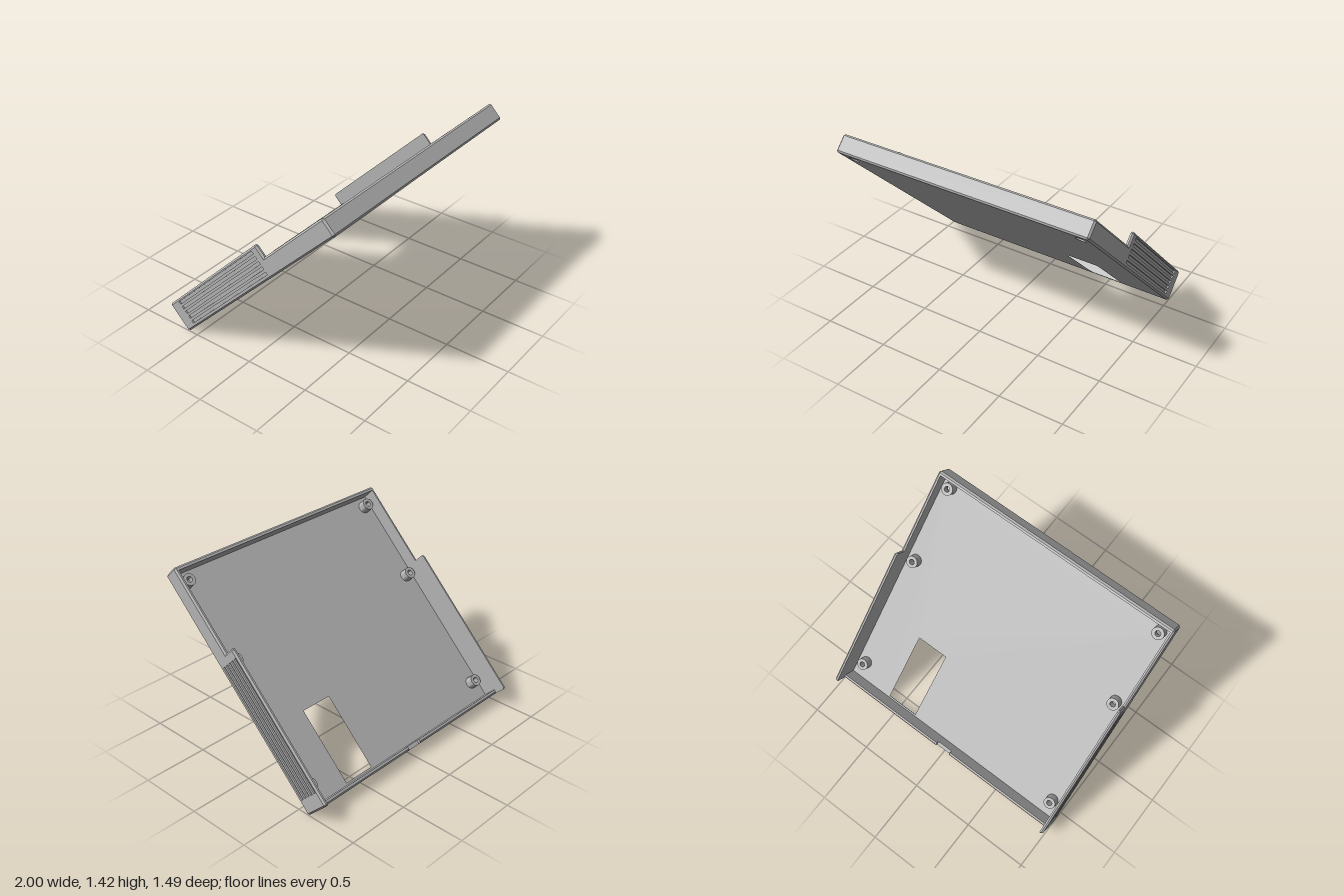
import * as THREE from 'three';
import { toCreasedNormals } from 'three/addons/utils/BufferGeometryUtils.js';

// Tray in its own frame: x across, y = height above the outer face, z = along its length.
const L = 1.895, LOW = 0.137, HIGH = 0.238, STEP = 1.2125; // length, rim heights, where the side drops
const C = 0.0125, T = 0.03, SIDE = 0.025, FLOOR = 0.025;   // chamfer and wall thicknesses
const INNER = 1 - SIDE;

const material = new THREE.MeshStandardMaterial({ color: 0xb6b6b6 });
material.name = 'grey plastic';

function mesh(name, geometry, parent) {
  const m = new THREE.Mesh(geometry, material);
  m.name = name;
  parent.add(m);
  return m;
}

// Profile of [z, y] points, extruded along x
const toPath = (pts) => pts.map(([z, y]) => new THREE.Vector2(-z, y));
function extrudeX(pts, x0, x1, holes = []) {
  const shape = new THREE.Shape(toPath(pts));
  holes.forEach((h) => shape.holes.push(new THREE.Path(toPath(h))));
  const g = new THREE.ExtrudeGeometry(shape, { depth: x1 - x0, bevelEnabled: false });
  return g.rotateY(Math.PI / 2).translate(x0, 0, 0);
}

// Sloped band joining two [z, y] loops at different x
function skirt(outer, inner, x0, x1) {
  const pos = [];
  outer.forEach((p0, i) => {
    const j = (i + 1) % outer.length;
    const p1 = outer[j], q0 = inner[i], q1 = inner[j];
    const put = (p, x) => pos.push(x, p[1], p[0]);
    put(p0, x0); put(p1, x0); put(q1, x1);
    if (q0[0] !== q1[0] || q0[1] !== q1[1]) { put(p0, x0); put(q1, x1); put(q0, x1); }
  });
  const g = new THREE.BufferGeometry();
  g.setAttribute('position', new THREE.Float32BufferAttribute(pos, 3));
  g.computeVertexNormals();
  return g;
}

// Stepped side wall with chamfered edges and long grip grooves
function sideWall(name) {
  const wall = new THREE.Group();
  wall.name = name;
  const outline = [
    [L, C], [L - C, 0], [C, 0], [0, C],
    [0, HIGH - C], [C, HIGH], [STEP - C, HIGH], [STEP, HIGH - C],
    [STEP, LOW], [L - C, LOW], [L, LOW - C],
  ];
  const a = [L - C, C], b = [C, C], c = [C, HIGH - C], d = [STEP - C, HIGH - C];
  const e = [STEP - C, LOW - C], f = [L - C, LOW - C];
  const face = [a, a, b, b, c, c, d, d, e, f, f];
  // start the loop so that it runs counterclockwise seen from outside
  const grooves = [];
  for (let i = 0; i < 5; i++) {
    const y = 0.042 + i * 0.041, h = 0.0105;
    grooves.push([[0.112, y - h], [1.146, y - h], [1.146, y + h], [0.112, y + h]]);
  }
  mesh('wallPanel', extrudeX(outline, INNER, 1 - C), wall);
  mesh('groovedFace', extrudeX([a, b, c, d, e, f], 1 - C, 1, grooves), wall);
  mesh('wallChamfer', skirt(outline, face, 1 - C, 1), wall);
  return wall;
}

export function createModel() {
  const model = new THREE.Group();
  model.name = 'caseHalf';
  const tray = new THREE.Group();
  tray.name = 'tray';
  tray.rotation.x = -Math.PI / 4;
  tray.position.set(0, -C * Math.SQRT1_2, -0.586);
  model.add(tray);

  // Floor with a rectangular opening and two screw holes
  const postX = 0.905, postZ = [0.169, 1.152, 1.788];
  const plate = new THREE.Shape([
    [-INNER, -T], [INNER, -T], [INNER, T - L], [-INNER, T - L],
  ].map(([x, y]) => new THREE.Vector2(x, y)));
  plate.holes.push(new THREE.Path([
    [0.353, -0.045], [0.607, -0.045], [0.607, -0.628], [0.353, -0.628],
  ].map(([x, y]) => new THREE.Vector2(x, y))));
  for (const s of [-1, 1]) {
    plate.holes.push(new THREE.Path().absarc(s * postX, -postZ[2], 0.04, 0, Math.PI * 2));
  }
  mesh('floor', new THREE.ExtrudeGeometry(plate, { depth: FLOOR, bevelEnabled: false, curveSegments: 16 })
    .rotateX(-Math.PI / 2), tray);

  // Side walls
  const left = sideWall('leftWall');
  const right = sideWall('rightWall');
  right.scale.x = -1;
  tray.add(left, right);

  // End walls, the lower one notched in the middle
  const endProfile = [[C, 0], [T, 0], [T, LOW], [C, LOW], [0, LOW - C], [0, C]];
  const notchProfile = [[C, 0], [T, 0], [T, LOW - 0.029], [0, LOW - 0.029], [0, C]];
  const N = 0.063;
  mesh('upperEndWall', extrudeX(endProfile.map(([z, y]) => [L - z, y]), -INNER, INNER), tray);
  mesh('lowerEndWallRight', extrudeX(endProfile, -INNER, -N), tray);
  mesh('lowerEndWallNotch', extrudeX(notchProfile, -N, N), tray);
  mesh('lowerEndWallLeft', extrudeX(endProfile, N, INNER), tray);

  // Screw posts: blind ones, and a pair open to the outside with a wide recess
  const post = (pts) => toCreasedNormals(
    new THREE.LatheGeometry(pts.map(([r, y]) => new THREE.Vector2(r, y)), 32), 0.6);
  const blind = post([[0.046, FLOOR], [0.046, 0.09], [0.021, 0.09], [0.021, 0.03], [0, 0.03]]);
  const open = post([[0.046, FLOOR], [0.046, 0.09], [0.021, 0.09], [0.021, 0.045], [0.04, 0.045], [0.04, 0]]);
  postZ.forEach((z, i) => {
    for (const s of [-1, 1]) {
      mesh('screwPost', i === 2 ? open : blind, tray).position.set(s * postX, 0, z);
    }
  });
  return model;
}
